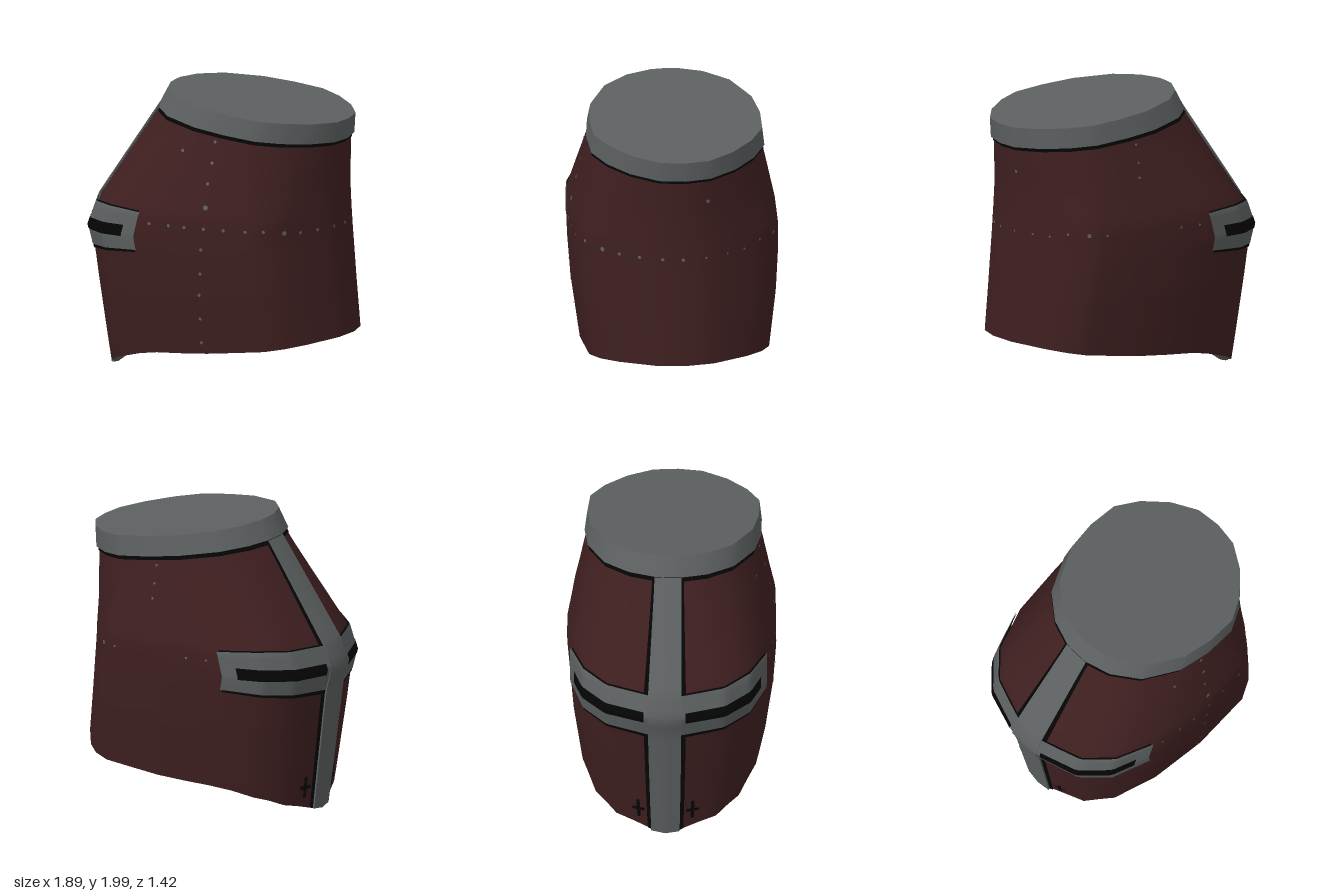
import * as THREE from 'three';
import { mergeVertices } from 'three/addons/utils/BufferGeometryUtils.js';

const mat = (name, color) => {
  const m = new THREE.MeshStandardMaterial({ color, side: THREE.DoubleSide });
  m.name = name;
  return m;
};

// piecewise linear lookup, extended past both ends
function lookup(table, v) {
  let i = 0;
  while (i < table.length - 2 && v > table[i + 1][0]) i++;
  const [a, b] = [table[i], table[i + 1]];
  return a[1] + ((b[1] - a[1]) * (v - a[0])) / (b[0] - a[0]);
}

// half outlines from face (-x) to nape (+x): share of length, share of width
const BODY = [[0, 0], [0.006, 0.155], [0.055, 0.56], [0.145, 0.79], [0.31, 0.94], [0.53, 1],
  [0.765, 0.965], [0.835, 0.86], [0.895, 0.68], [0.98, 0.3], [1, 0]];
const CROWN = [[0, 0], [0.004, 0.155], [0.05, 0.45], [0.155, 0.74], [0.345, 0.95], [0.515, 1],
  [0.68, 0.98], [0.8, 0.82], [0.91, 0.57], [0.985, 0.28], [1, 0]];
const N = BODY.length - 1;
// face line, nape line and half width by height
const FACE = [[0, -0.78], [0.88, -0.89], [1.04, -0.93], [1.2, -0.87], [1.87, -0.42], [2, -0.35]];
const NAPE = [[0.36, 0.95], [0.7, 0.915], [1, 0.89], [1.2, 0.875], [1.4, 0.868], [1.7, 0.88], [1.84, 0.89]];
const WIDTH = [[0.01, 0.59], [0.25, 0.63], [0.7, 0.69], [1, 0.71], [1.2, 0.71], [1.76, 0.585], [1.95, 0.56]];
// height of the lower rim and of the cap's lower edge by x
const RIM = [[-0.785, 0.003], [-0.765, 0.035], [-0.67, 0.115], [-0.5, 0.18], [-0.3, 0.23], [0, 0.25], [0.5, 0.3], [0.95, 0.36]];
const BROW = [[-0.43, 1.87], [0.9, 1.7]];

// point on the shell: k runs along the outline (negative is the -z side)
function at(k, y, off = 0) {
  const a = Math.min(Math.abs(k), N), i = Math.min(Math.floor(a), N - 1);
  const blend = THREE.MathUtils.clamp((y - 1.2) / 0.6, 0, 1);
  const [u, w] = [0, 1].map((c) => {
    const along = (table) => THREE.MathUtils.lerp(table[i][c], table[i + 1][c], a - i);
    return THREE.MathUtils.lerp(along(BODY), along(CROWN), blend);
  });
  const x0 = lookup(FACE, y), x1 = lookup(NAPE, y), h = lookup(WIDTH, y), r = (x1 - x0) / 2;
  const p = new THREE.Vector3(x0 + u * 2 * r, y, Math.sign(k) * w * h);
  const n = new THREE.Vector3((p.x - x0 - r) / (r * r), 0, p.z / (h * h)).normalize();
  return p.addScaledVector(n, off);
}

// the same with t from 0 at the rim to 1 at the cap, plus a lift in height
function shell(k, t, off = 0, lift = 0) {
  let y = 1;
  for (let i = 0; i < 14; i++) {
    const x = at(k, y, off).x;
    y = Math.max(lookup(RIM, x), 0.003) * (1 - t) + lookup(BROW, x) * t + lift;
  }
  return at(k, y, off);
}

// a strip laid over the shell without changing its height
const overlay = (k, t, off) => at(k, shell(k, t).y, off);

function grid(name, material, nu, nv, fn) {
  const pos = [], idx = [];
  for (let j = 0; j <= nv; j++) for (let i = 0; i <= nu; i++) pos.push(...fn(i / nu, j / nv).toArray());
  for (let j = 0; j < nv; j++) for (let i = 0; i < nu; i++) {
    const a = j * (nu + 1) + i, b = a + 1, c = a + nu + 1, d = c + 1;
    idx.push(a, b, d, a, d, c);
  }
  let g = new THREE.BufferGeometry();
  g.setAttribute('position', new THREE.Float32BufferAttribute(pos, 3));
  g.setIndex(idx);
  g = mergeVertices(g, 1e-5);
  g.computeVertexNormals();
  const m = new THREE.Mesh(g, material);
  m.name = name;
  return m;
}

export function createModel() {
  const helmet = new THREE.Group();
  helmet.name = 'helmet';
  const red = mat('dark red paint', 0x3f1f20);
  const steel = mat('grey steel', 0x5c6060);
  const black = mat('black', 0x050505);
  const around = (s) => (s * 2 - 1) * N;
  const add = (...args) => helmet.add(grid(...args));

  // painted shell, rim and the shallow dark recess inside it
  add('shell', red, 40, 28, (s, t) => shell(around(s), t));
  add('rim', steel, 40, 1, (s, t) => shell(around(s), 0, -0.05 * (1 - t)));
  add('recessWall', black, 40, 1, (s, t) => shell(around(s), 0, -0.05, 0.13 * (1 - t)));
  const recessCentre = new THREE.Vector3(0.1, lookup(RIM, 0.1) + 0.13, 0);
  add('recessCeiling', black, 40, 4, (s, t) => shell(around(s), 0, -0.05, 0.13).lerp(recessCentre, 1 - t));

  // flat cap with its band and the dark seam beneath
  add('capSeam', black, 40, 2, (s, t) => shell(around(s), 0.981 + 0.019 * t, 0.006));
  add('capUnderside', steel, 40, 1, (s, t) => shell(around(s), 1, 0.02 * t));
  add('capBand', steel, 40, 1, (s, t) => shell(around(s), 1, 0.02, 0.14 * t));
  const capCentre = new THREE.Vector3(0.24, lookup(BROW, 0.24) + 0.14, 0);
  add('capTop', steel, 40, 1, (s, t) => shell(around(s), 1, 0.02, 0.14).lerp(capCentre, t));

  // ridge down the face with a dark edge
  add('ridgeEdge', black, 20, 40, (s, t) => overlay((s * 2 - 1) * 1.11, t, 0.007));
  add('ridge', steel, 4, 40, (s, t) => overlay(s * 2 - 1, t, 0.02));
  add('ridgeLeftSide', steel, 1, 40, (s, t) => overlay(1, t, 0.02 * (1 - s)));
  add('ridgeRightSide', steel, 1, 40, (s, t) => overlay(-1, t, 0.02 * s));

  // eye bands, slits and small breathing crosses on both sides
  const TOP = [[1, 1.195], [3, 1.22], [4, 1.213]], LOW = [[1, 0.885], [3, 0.925], [4, 0.952]];
  for (const side of [1, -1]) {
    const patch = (name, material, k0, k1, off, low, top) =>
      add(name, material, 20, 14, (s, t) => {
        const f = side > 0 ? s : 1 - s, k = k0 + (k1 - k0) * f;
        return at(side * k, low(k) + (top(k) - low(k)) * t, off);
      });
    const top = (k) => lookup(TOP, k), low = (k) => lookup(LOW, k);
    patch('eyeBandEdge', black, 1, 3.85, 0.009, (k) => low(k) - 0.035 + 0.005 * k, (k) => top(k) + 0.008);
    patch('eyeBand', steel, 0.9, 3.9, 0.014, low, top);
    patch('eyeSlit', black, 1.1, 3.56, 0.018, (k) => 0.985 + 0.0125 * k, (k) => 1.065 + 0.0125 * k);
    patch('crossUpright', black, 1.29, 1.38, 0.009, () => 0.12, () => 0.27);
    patch('crossArm', black, 1.17, 1.5, 0.01, () => 0.18, () => 0.205);
  }

  // rivets: find the spot on the shell, then lay a disc along the surface
  function rivet(axis, value, y, side, r) {
    const [kMin, kMax] = axis === 'x' ? [3, 9] : [6, 9.97];
    let best = kMin;
    for (let k = kMin; k <= kMax; k += 0.01) {
      if (Math.abs(at(k, y)[axis] - value) < Math.abs(at(best, y)[axis] - value)) best = k;
    }
    const k = side * best, e = 0.02;
    const along = at(k + e, y).sub(at(k - e, y));
    const up = at(k, y + e).sub(at(k, y - e));
    const n = along.cross(up).normalize();
    const m = new THREE.Mesh(new THREE.CircleGeometry(r, 8), steel);
    m.name = 'rivet';
    m.position.copy(at(k, y)).addScaledVector(n, 0.006);
    m.lookAt(m.position.clone().add(n));
    helmet.add(m);
  }
  // left side: a cross of rivets
  for (const x of [-0.28, -0.13, -0.01, 0.13, 0.27, 0.43, 0.54]) rivet('x', x, 1.145, 1, 0.012);
  for (const [x, y] of [[0.17, 1.73], [0.16, 1.59], [0.14, 1.45], [0.11, 1], [0.1, 0.83],
    [0.09, 0.68], [0.09, 0.51], [0.09, 0.34], [-0.07, 1.65]]) rivet('x', x, y, 1, 0.012);
  rivet('x', 0.14, 1.29, 1, 0.018);
  rivet('x', 0.65, 1.125, 1, 0.017);
  // right side: a few smaller ones
  for (const x of [-0.28, -0.13, 0.43, 0.65]) rivet('x', x, 1.145, -1, 0.009);
  for (const y of [1.73, 1.61, 1.51]) rivet('x', 0.16, y, -1, 0.009);
  rivet('x', 0.54, 1.145, -1, 0.015);
  // back row
  for (const z of [0.43, 0.3, 0.15, 0.01]) rivet('z', z, 1.115, 1, 0.012);
  for (const z of [0.15, 0.3, 0.42]) rivet('z', z, 1.115, -1, 0.008);
  rivet('z', 0.16, 1.53, -1, 0.013);
  return helmet;
}
